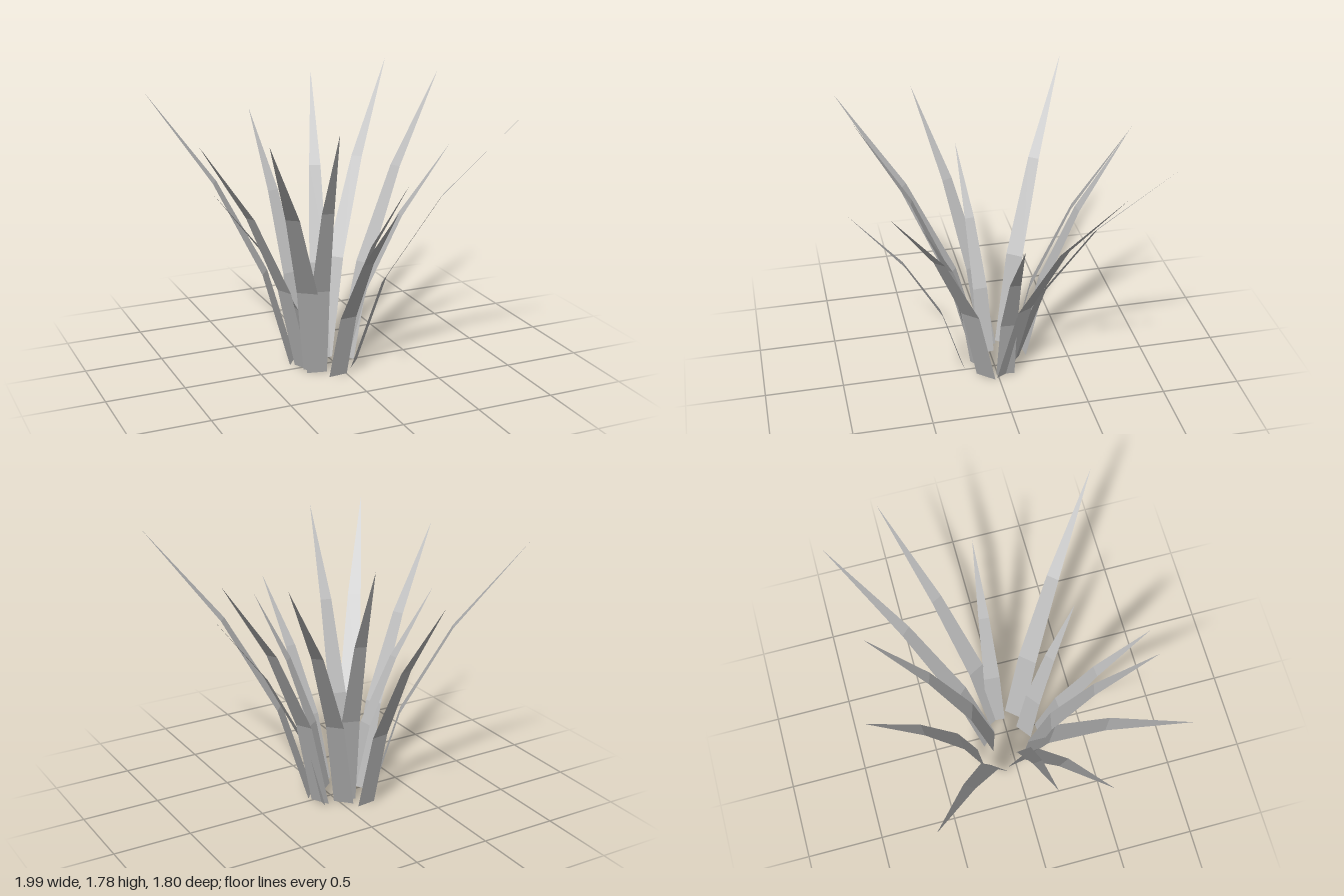
import * as THREE from 'three';

// Each blade: base centre x, z; tip x, y, z; base width
const BLADES = [
  [-0.135, -0.22, -0.22, 1.51, -0.90, 0.13],
  [-0.05, -0.105, 0.18, 1.76, -0.79, 0.13],
  [-0.02, -0.13, 0.78, 1.78, -0.89, 0.13],
  [0.105, -0.045, 0.99, 1.74, -0.52, 0.13],
  [0.10, -0.05, 0.81, 1.37, 0.00, 0.12],
  [0.105, 0.08, 0.905, 1.73, 0.76, 0.14],
  [-0.03, 0.11, 0.27, 1.28, 0.50, 0.125],
  [-0.06, 0.205, 0.00, 1.25, 0.90, 0.125],
  [-0.165, 0.11, -0.32, 1.71, 0.81, 0.13],
  [-0.166, 0.08, -0.755, 1.70, 0.87, 0.15],
  [-0.22, 0.00, -0.98, 1.61, 0.35, 0.13],
  [-0.16, 0.025, -0.82, 1.25, 0.09, 0.11],
  [-0.24, -0.115, -1.00, 1.73, -0.66, 0.13],
];

// Shared bend and taper: share of reach, share of height, share of width
const SECTIONS = [[0, 0, 1], [0.187, 0.345, 0.88], [0.525, 0.677, 0.57], [1, 1, 0]];

function bladeGeometry([bx, bz, tx, ty, tz, width]) {
  const dx = tx - bx, dz = tz - bz, reach = Math.hypot(dx, dz);
  const rows = SECTIONS.map(([r, h, w]) => [-1, 1].map((side) => {
    const s = side * w * width / 2 / reach;
    return [bx + dx * r - dz * s, ty * h, bz + dz * r + dx * s];
  }));
  const pos = [];
  for (let i = 0; i < rows.length - 1; i++) {
    const [a, b] = rows[i], [c, d] = rows[i + 1];
    pos.push(...a, ...b, ...c);
    if (i < rows.length - 2) pos.push(...b, ...d, ...c); // the last section ends in a point
  }
  const geometry = new THREE.BufferGeometry();
  geometry.setAttribute('position', new THREE.Float32BufferAttribute(pos, 3));
  geometry.computeVertexNormals();
  return geometry;
}

export function createModel() {
  const group = new THREE.Group();
  group.name = 'grassTuft';
  const grey = new THREE.MeshStandardMaterial({ color: 0xb8b8b8, side: THREE.DoubleSide, flatShading: true });
  grey.name = 'bladeGrey';
  BLADES.forEach((blade, i) => {
    const mesh = new THREE.Mesh(bladeGeometry(blade), grey);
    mesh.name = `grassBlade${i + 1}`;
    group.add(mesh);
  });
  return group;
}
